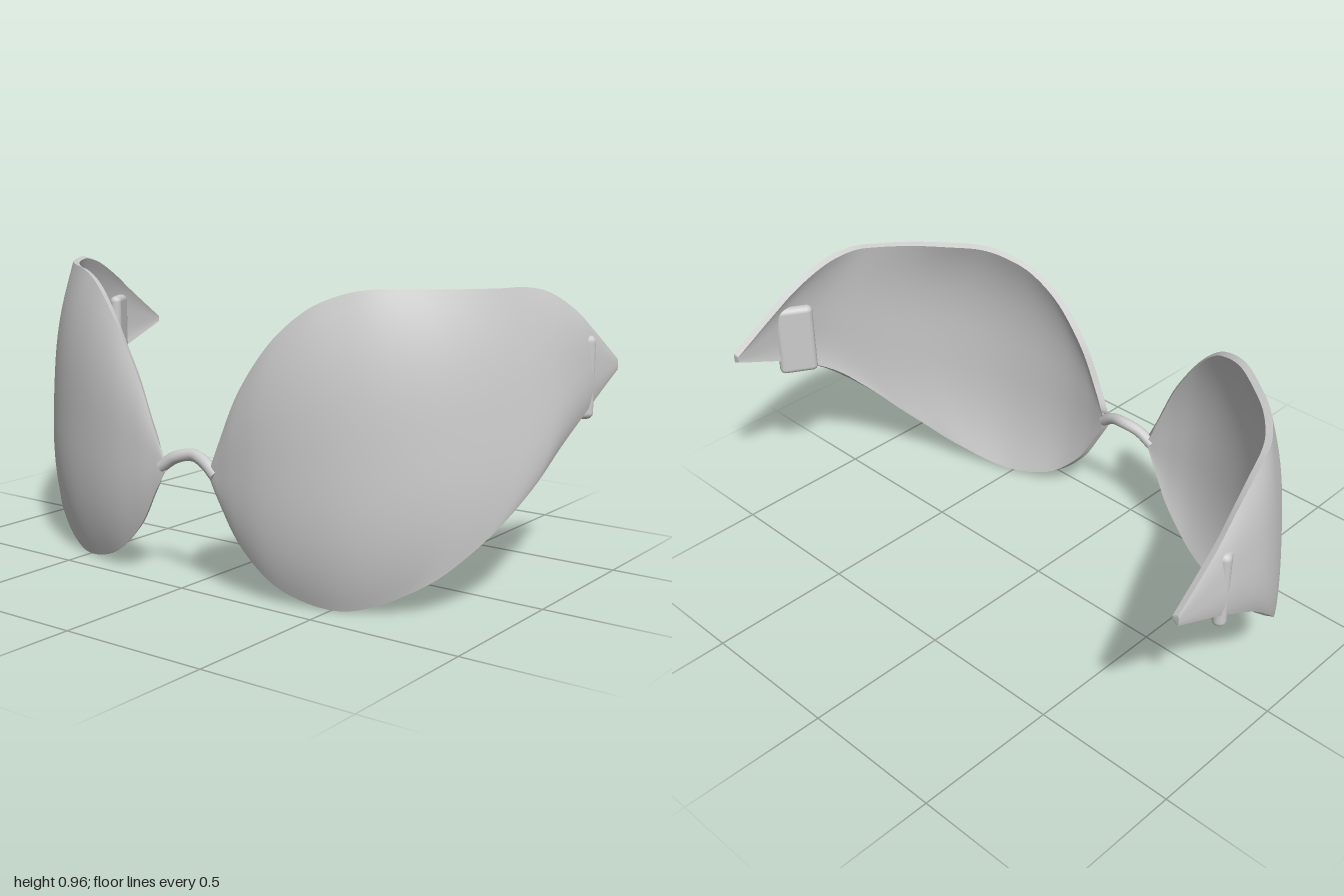
import * as THREE from 'three';
import { RoundedBoxGeometry } from 'three/addons/geometries/RoundedBoxGeometry.js';

const THICK = 0.022, NU = 80, NV = 28;

// Edge and crest lines of one cup, running from the bridge to the strap tip
const line = (pts) => new THREE.CatmullRomCurve3(pts.map((p) => new THREE.Vector3(...p)), false, 'catmullrom', 0.5);
const bottom = line([
  [.09, .36, .465], [.13, .29, .468], [.2, .17, .46], [.3, .07, .445], [.4, .02, .42],
  [.51, .0, .39], [.6, .015, .355], [.7, .06, .305], [.8, .13, .24], [.9, .25, .13],
  [.96, .37, .01], [.985, .475, -.11], [.995, .55, -.23], [.995, .6, -.33], [.988, .665, -.49]]);
const crest = line([
  [.09, .38, .468], [.13, .385, .476], [.2, .41, .487], [.3, .43, .49], [.42, .45, .472],
  [.55, .47, .43], [.67, .49, .365], [.78, .52, .275], [.87, .55, .165], [.94, .6, .045],
  [.975, .66, -.045], [.992, .7, -.13], [.998, .72, -.24], [.996, .705, -.33], [.99, .683, -.49]]);
const top = line([
  [.095, .4, .465], [.13, .48, .468], [.2, .64, .462], [.3, .79, .445], [.4, .89, .41],
  [.49, .94, .367], [.58, .962, .32], [.68, .963, .25], [.78, .963, .165], [.86, .963, .07],
  [.905, .963, -.01], [.935, .94, -.11], [.96, .88, -.23], [.975, .81, -.33], [.988, .7, -.49]]);

// Outer surface: a full, rounded section between the two edges
function surface(u, v) {
  const b = bottom.getPoint(u), m = crest.getPoint(u), t = top.getPoint(u);
  const bulge = m.sub(b.clone().lerp(t, 0.5));
  const s = Math.abs(2 * v - 1);
  return b.lerp(t, v).addScaledVector(bulge, 1 - Math.pow(s, 2.8));
}
function normal(u, v) {
  const e = 0.004, c = (k) => Math.min(1, Math.max(0, k));
  const du = surface(c(u + e), v).sub(surface(c(u - e), v));
  const dv = surface(u, c(v + e)).sub(surface(u, c(v - e)));
  return du.cross(dv).normalize();
}

// Grid of points; flip reverses the facing
function sheet(nu, nv, point, flip) {
  const pos = [], index = [];
  for (let i = 0; i <= nu; i++)
    for (let j = 0; j <= nv; j++) pos.push(...point(i / nu, j / nv).toArray());
  for (let i = 0; i < nu; i++)
    for (let j = 0; j < nv; j++) {
      const a = i * (nv + 1) + j, b = a + nv + 1;
      if (flip) index.push(a, b + 1, b, a, a + 1, b + 1);
      else index.push(a, b, b + 1, a, b + 1, a + 1);
    }
  const g = new THREE.BufferGeometry();
  g.setAttribute('position', new THREE.Float32BufferAttribute(pos, 3));
  g.setIndex(index);
  g.computeVertexNormals();
  return g;
}

export function createModel() {
  const model = new THREE.Group();
  const grey = new THREE.MeshStandardMaterial({ color: 0xcccccc });
  grey.name = 'light grey';
  const add = (parent, geometry, name) => {
    const mesh = new THREE.Mesh(geometry, grey);
    mesh.name = name;
    parent.add(mesh);
    return mesh;
  };

  for (const side of [1, -1]) {
    const cup = new THREE.Group();
    cup.name = side > 0 ? 'leftCup' : 'rightCup';
    model.add(cup);
    const flip = side < 0;
    // depth 0 = outer face, 1 = inner face
    const at = (u, v, depth) => {
      const p = surface(u, v).addScaledVector(normal(u, v), -THICK * depth);
      p.x *= side;
      return p;
    };
    add(cup, sheet(NU, NV, (u, v) => at(u, v, 0), flip), 'outerShell');
    add(cup, sheet(NU, NV, (u, v) => at(u, v, 1), !flip), 'innerShell');
    // Rims closing the thickness
    add(cup, sheet(NU, 1, (u, d) => at(u, 1, d), flip), 'topRim');
    add(cup, sheet(NU, 1, (u, d) => at(u, 0, d), !flip), 'bottomRim');
    add(cup, sheet(1, NV, (d, v) => at(1, v, d), flip), 'strapEnd');
    add(cup, sheet(1, NV, (d, v) => at(0, v, d), !flip), 'bridgeEnd');
    // Slanted pad inside the strap
    const pad = add(cup, new RoundedBoxGeometry(0.042, 0.26, 0.135, 4, 0.02), 'strapPad');
    pad.position.set(side * 0.957, 0.667, -0.247);
    pad.rotation.y = -side * 0.53;
  }

  // Arched bridge joining the cups
  const arch = new THREE.CatmullRomCurve3([
    [-.112, .37, .462], [-.06, .405, .453], [0, .419, .442], [.06, .405, .453], [.112, .37, .462],
  ].map((p) => new THREE.Vector3(...p)));
  const bridge = new THREE.Group();
  bridge.name = 'bridge';
  model.add(bridge);
  add(bridge, new THREE.TubeGeometry(arch, 32, 0.02, 14), 'bridgeTube');
  for (const t of [0, 1]) {
    const cap = add(bridge, new THREE.CircleGeometry(0.02, 14), 'bridgeCap');
    const out = arch.getTangent(t).multiplyScalar(t ? 1 : -1);
    cap.position.copy(arch.getPoint(t));
    cap.quaternion.setFromUnitVectors(new THREE.Vector3(0, 0, 1), out);
  }
  return model;
}
